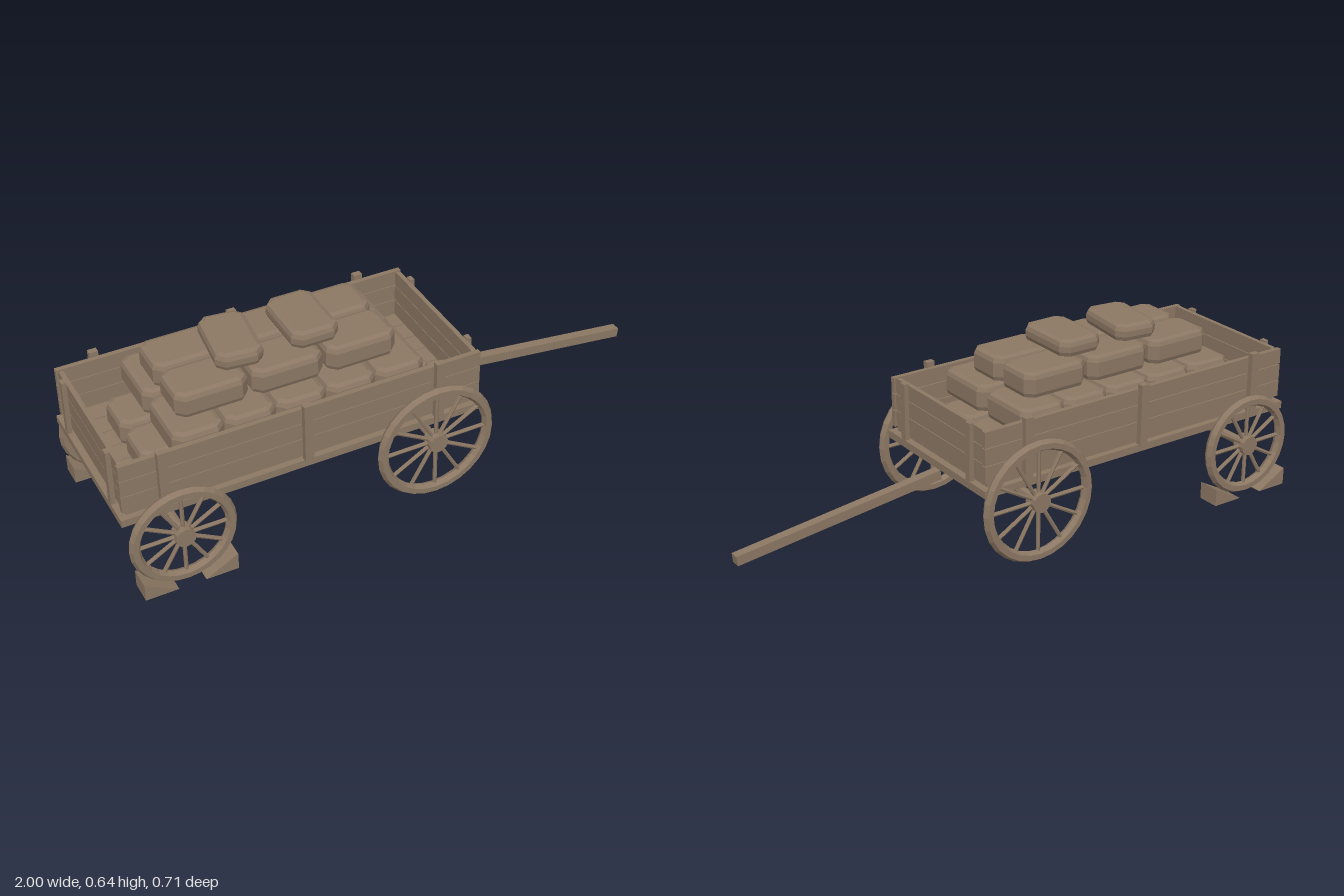
import * as THREE from 'three';

const wood = new THREE.MeshStandardMaterial({ color: 0x8b7763, flatShading: true });
wood.name = 'weathered wood';

function add(parent, name, geometry, x = 0, y = 0, z = 0) {
  const mesh = new THREE.Mesh(geometry, wood);
  mesh.name = name;
  mesh.position.set(x, y, z);
  parent.add(mesh);
  return mesh;
}

// Box given by its lower and upper limits
function block(parent, name, x0, x1, y0, y1, z0, z1) {
  return add(parent, name, new THREE.BoxGeometry(x1 - x0, y1 - y0, z1 - z0),
    (x0 + x1) / 2, (y0 + y1) / 2, (z0 + z1) / 2);
}

// Rectangle with cut corners
function cutRect(w, h, c) {
  const a = w / 2, b = h / 2;
  return new THREE.Shape([
    [-a + c, -b], [a - c, -b], [a, -b + c], [a, b - c],
    [a - c, b], [-a + c, b], [-a, b - c], [-a, -b + c],
  ].map(([x, y]) => new THREE.Vector2(x, y)));
}

// Soft filled sack: l along x, w along z, bevelled all round
function sackGeometry(l, h, w) {
  const bevel = 0.02;
  const g = new THREE.ExtrudeGeometry(cutRect(l - 2 * bevel, w - 2 * bevel, 0.016), {
    depth: h - 2 * bevel, bevelEnabled: true, bevelSize: bevel, bevelThickness: bevel, bevelSegments: 2,
  });
  g.rotateX(-Math.PI / 2);
  g.translate(0, bevel - h / 2, 0);
  return g;
}

function wheel(name, radius) {
  const g = new THREE.Group();
  g.name = name;
  const tube = 0.019;
  add(g, 'rim', new THREE.TorusGeometry(radius - tube, tube, 6, 28));
  add(g, 'hub', new THREE.CylinderGeometry(0.034, 0.034, 0.046, 12).rotateX(Math.PI / 2));
  const len = radius - 0.05;
  for (let i = 0; i < 12; i++) {
    const spoke = new THREE.CylinderGeometry(0.007, 0.007, len, 6);
    spoke.translate(0, 0.02 + len / 2, 0).rotateZ(i * Math.PI / 6);
    add(g, 'spoke', spoke);
  }
  return g;
}

export function createModel() {
  const cart = new THREE.Group();
  cart.name = 'cart';
  const mid = -0.3675;
  const rows = [[0.31, 0.368], [0.371, 0.429], [0.432, 0.487]];

  // Bed and floor planks
  block(cart, 'bed', -1, 0.265, 0.265, 0.291, -0.29, 0.29);
  for (let i = -3; i <= 3; i++) {
    block(cart, 'floorPlank', -0.975, 0.24, 0.291, 0.308, i * 0.077 - 0.037, i * 0.077 + 0.037);
  }

  for (const s of [1, -1]) {
    // Side planks and uprights
    const side = new THREE.Group();
    side.name = s > 0 ? 'frontSide' : 'backSide';
    for (const [y0, y1] of rows) {
      add(side, 'sidePlank', new THREE.BoxGeometry(1.245, y1 - y0, 0.018), mid, (y0 + y1) / 2, s * 0.269);
    }
    for (const x of [-0.855, -0.37, 0.098]) {
      add(side, 'sidePost', new THREE.BoxGeometry(0.03, 0.215, 0.022), x, 0.3975, s * 0.287);
    }
    cart.add(side);

    // End boards with cut corners, and their uprights
    const end = new THREE.Group();
    end.name = s > 0 ? 'headEnd' : 'tailEnd';
    for (const [y0, y1] of rows) {
      const g = new THREE.ExtrudeGeometry(cutRect(0.524, y1 - y0, 0.01), { depth: 0.016, bevelEnabled: false });
      g.translate(0, 0, -0.008).rotateY(Math.PI / 2);
      add(end, 'endBoard', g, mid + s * 0.608, (y0 + y1) / 2, 0);
    }
    for (const z of [-0.192, 0.192]) {
      add(end, 'endPost', new THREE.BoxGeometry(0.016, 0.202, 0.024), mid + s * 0.624, 0.392, z);
    }
    cart.add(end);
  }

  // Axles and wheels
  for (const [label, x, y, r] of [['head', 0.075, 0.216, 0.213], ['tail', -0.815, 0.183, 0.18]]) {
    add(cart, label + 'Axle', new THREE.CylinderGeometry(0.016, 0.016, 0.62, 8).rotateX(Math.PI / 2), x, y, 0);
    for (const s of [1, -1]) {
      const w = wheel(label + 'Wheel', r);
      w.position.set(x, y, s * 0.315);
      cart.add(w);
    }
  }

  // Wedges either side of the tail wheels, tall end outwards
  for (const z of [0.315, -0.315]) {
    for (const s of [1, -1]) {
      const a = -0.8125 + s * 0.1575, b = -0.8125 + s * 0.046;
      const profile = new THREE.Shape([
        new THREE.Vector2(a, 0.003), new THREE.Vector2(b, 0.003), new THREE.Vector2(a, 0.064)]);
      add(cart, 'wheelWedge', new THREE.ExtrudeGeometry(profile, { depth: 0.08, bevelEnabled: false }), 0, 0, z - 0.04);
    }
  }

  // Sloping draw pole
  const pole = add(cart, 'drawPole', new THREE.BoxGeometry(0.752, 0.033, 0.033), 0.625, 0.194, 0);
  pole.rotation.z = -Math.atan2(0.09, 0.745);

  // Stacked sacks, layer by layer
  const load = new THREE.Group();
  load.name = 'load';
  const sack = (x, y0, y1, z, l, w, turn = 0) => {
    add(load, 'sack', sackGeometry(l, y1 - y0, w), x, (y0 + y1) / 2, z).rotation.y = turn;
  };
  for (const s of [1, -1]) {
    for (let i = 0; i < 4; i++) sack(-0.75 + i * 0.255, 0.308, 0.402, s * 0.086, 0.25, 0.168);
    for (let i = 0; i < 5; i++) sack(-0.705 + i * 0.174, 0.4, 0.494, s * 0.123, 0.172, 0.236);
    for (let i = 0; i < 3; i++) sack(-0.626 + i * 0.258, 0.493, 0.582, s * 0.086, 0.245, 0.167);
  }
  sack(-0.495, 0.58, 0.64, 0, 0.158, 0.245, -0.12);
  sack(-0.247, 0.58, 0.64, 0, 0.165, 0.245);
  cart.add(load);

  return cart;
}
